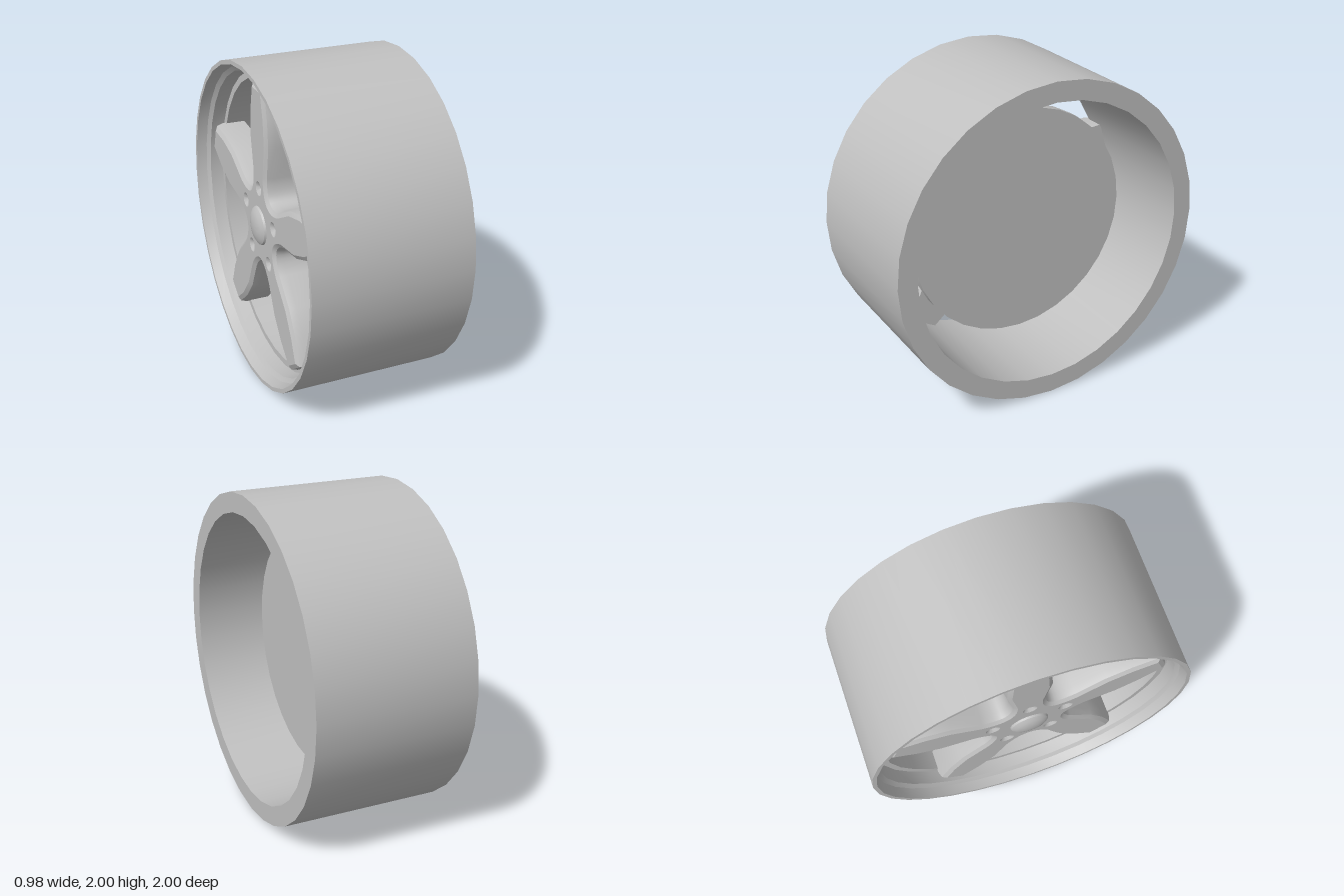
import * as THREE from 'three';
import { toCreasedNormals } from 'three/addons/utils/BufferGeometryUtils.js';

const SEGMENTS = 32;

// Revolve [radius, x] points around the wheel axle (the x axis)
function turned(name, profile, material) {
  const points = profile.map(([r, x]) => new THREE.Vector2(r, x));
  const geometry = new THREE.LatheGeometry(points, SEGMENTS);
  geometry.rotateZ(-Math.PI / 2);
  const mesh = new THREE.Mesh(toCreasedNormals(geometry, 0.5), material);
  mesh.name = name;
  return mesh;
}

// Five-armed star outline with rounded valleys and a bolt hole in each arm
function starShape() {
  const shape = new THREE.Shape();
  const half = [[0.34, 0.075], [0.54, 0.11], [0.7, 0.1], [0.85, 0.065]];
  const arm = [...half.map(([a, p]) => [a, -p]), ...half.reverse()];
  for (let i = 0; i < 5; i++) {
    const angle = Math.PI / 2 + i * Math.PI * 2 / 5;
    const c = Math.cos(angle), s = Math.sin(angle);
    arm.forEach(([a, p], j) => {
      const x = a * c - p * s, y = a * s + p * c;
      if (i === 0 && j === 0) shape.moveTo(x, y);
      else if (j === 0) {
        const valley = angle - Math.PI / 5;
        shape.quadraticCurveTo(0.12 * Math.cos(valley), 0.12 * Math.sin(valley), x, y);
      } else shape.lineTo(x, y);
    });
    const hole = new THREE.Path();
    hole.absarc(0.24 * c, 0.24 * s, 0.045, 0, Math.PI * 2, true);
    shape.holes.push(hole);
  }
  // Close the last valley back to the first arm
  const last = Math.PI / 2 - Math.PI / 5;
  shape.quadraticCurveTo(0.12 * Math.cos(last), 0.12 * Math.sin(last), 0.075, 0.34);
  return shape;
}

export function createModel() {
  const metal = new THREE.MeshStandardMaterial({ color: 0xc0c0c0 });
  metal.name = 'silver metal';
  const wheel = new THREE.Group();
  wheel.name = 'wheelRim';

  // Barrel with a stepped lip on the spoke side
  wheel.add(turned('barrel', [
    [1, -0.49], [1, 0.49], [0.88, 0.49], [0.88, -0.33],
    [0.92, -0.33], [0.93, -0.41], [0.955, -0.43], [0.975, -0.49], [1, -0.49],
  ], metal));

  // Spokes: bevelled on the outer face, flat at the back
  const star = new THREE.ExtrudeGeometry(starShape(), {
    depth: 0.14, bevelEnabled: true, bevelThickness: 0.06, bevelSize: 0.035,
    bevelSegments: 2, curveSegments: 10,
  });
  const pos = star.attributes.position;
  for (let i = 0; i < pos.count; i++) pos.setZ(i, Math.max(pos.getZ(i), 0));
  star.rotateY(-Math.PI / 2);
  star.translate(-0.21, 0, 0);
  const spokes = new THREE.Mesh(toCreasedNormals(star, 0.5), metal);
  spokes.name = 'spokes';
  wheel.add(spokes);

  // Domed centre cap
  wheel.add(turned('centreCap', [
    [0, -0.45], [0.05, -0.447], [0.09, -0.437], [0.115, -0.422], [0.125, -0.4],
  ], metal));

  // Brake disc and the stepped hub behind the spokes
  wheel.add(turned('brakeDisc', [[0, 0.04], [0.72, 0.04], [0.72, 0.11], [0, 0.11]], metal));
  wheel.add(turned('hub', [[0, -0.1], [0.36, -0.1], [0.36, 0.05]], metal));
  wheel.add(turned('axle', [[0.17, -0.22], [0.17, -0.09]], metal));

  wheel.position.y = 1;
  const model = new THREE.Group();
  model.add(wheel);
  return model;
}
